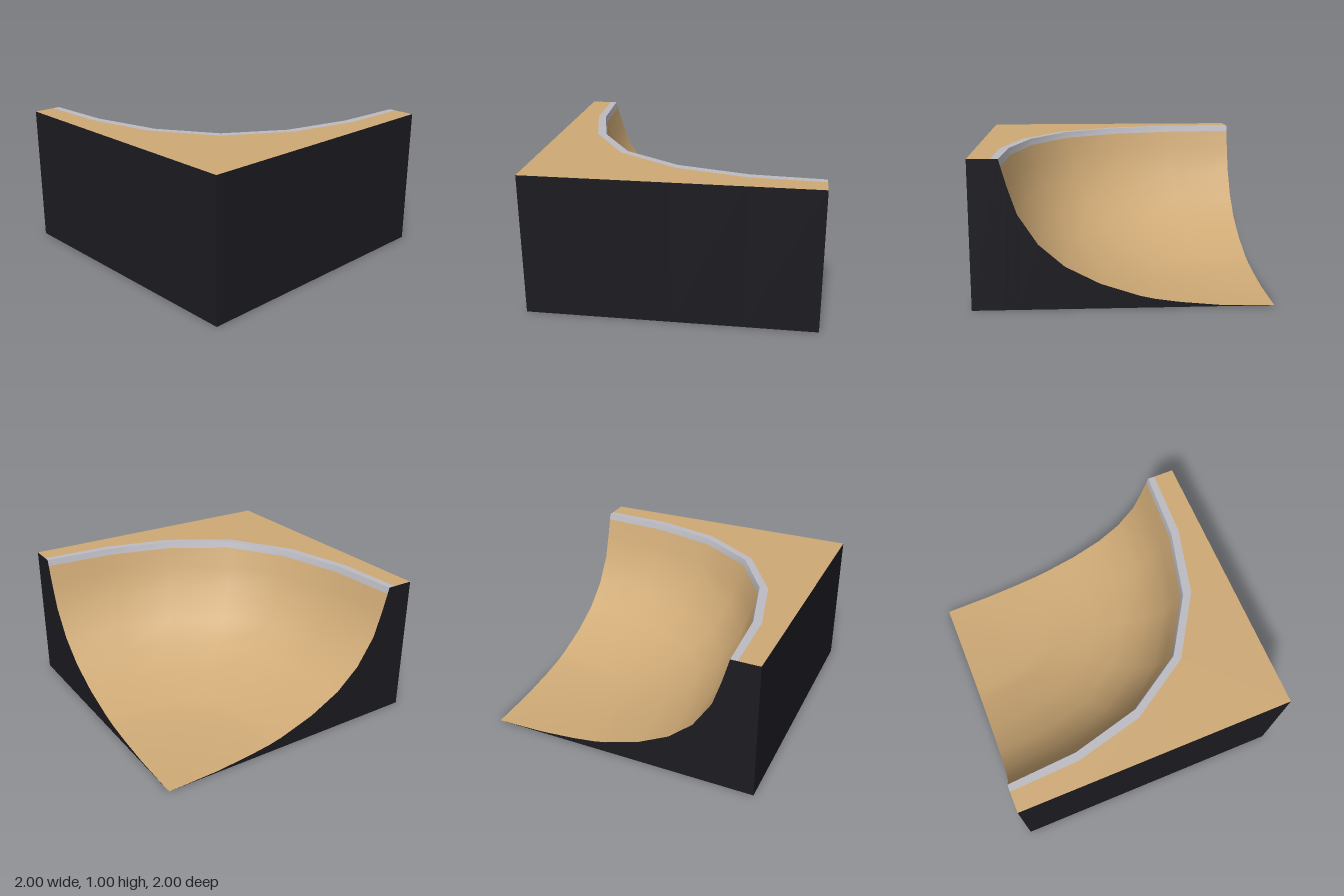
import * as THREE from 'three';

const WOOD = 0xcfaa76, METAL = 0xbdbcc3, DARK = 0x1c1b21;

// Joins rows of points into a thin surface; sharp facets unless smooth.
function loft(name, rows, color, smooth = false) {
  const n = rows[0].length, index = [];
  for (let r = 0; r < rows.length - 1; r++) {
    for (let k = 0; k < n - 1; k++) {
      const a = r * n + k, b = a + n;
      index.push(a, b, a + 1, a + 1, b, b + 1);
    }
  }
  let geometry = new THREE.BufferGeometry();
  geometry.setAttribute('position', new THREE.Float32BufferAttribute(rows.flat(2), 3));
  geometry.setIndex(index);
  if (!smooth) geometry = geometry.toNonIndexed();
  geometry.computeVertexNormals();
  const mesh = new THREE.Mesh(geometry, new THREE.MeshStandardMaterial({ color, side: THREE.DoubleSide }));
  mesh.name = name;
  return mesh;
}

// Plan curves are offsets from the bowl's centre at the corner x = 1, z = -1,
// mirrored about the diagonal.
const mirrored = (half) => [...half, ...half.slice(0, -1).reverse().map(([u, v]) => [v, u])];
const rim = mirrored([[1.8, 0], [1.77, 0.5], [1.645, 0.99], [1.39, 1.39]]);
const copingEdge = mirrored([[1.85, 0], [1.83, 0.5], [1.71, 0.99], [1.43, 1.43]]);
const border = mirrored([[2, 0], [2, 0.5], [2, 0.99], [2, 2]]);

const ring = (curve, y, s = 1) => curve.map(([u, v]) => [1 - u * s, y, v * s - 1]);

// Transition profile: distance from the centre, height
const profile = [
  [0, 0], [0.12, 0.002], [0.37, 0.01], [0.63, 0.035], [0.8, 0.06], [0.9, 0.083],
  [1.16, 0.17], [1.39, 0.29], [1.56, 0.44], [1.69, 0.64], [1.75, 0.82], [1.788, 0.955],
];
const lip = profile[profile.length - 1];

// The ramp is a hollow shell, open underneath.
export function createModel() {
  const group = new THREE.Group();

  // Riding surface
  group.add(loft('bowl', profile.map(([r, y]) => ring(rim, y, r / 1.8)), WOOD, true));

  // Coping: a band down the inside and over the top
  group.add(loft('copingFace', [ring(rim, lip[1], lip[0] / 1.8), ring(rim, 1)], METAL, true));
  group.add(loft('copingTop', [ring(rim, 1), ring(copingEdge, 1)], METAL));

  // Platform
  group.add(loft('deck', [ring(copingEdge, 1), ring(border, 1)], WOOD));

  // Full-height front and right-hand panels
  group.add(loft('outerWalls', [ring(border, 1), ring(border, 0)], DARK));

  // Panels cut to the transition
  const cut = [...profile, [1.8, 1], [2, 1]];
  const sideTop = cut.map(([r, y]) => [1, y, r - 1]);
  const sideBase = cut.map(([r]) => [1, 0, r - 1]);
  const backTop = cut.map(([r, y]) => [1 - r, y, -1]);
  const backBase = cut.map(([r]) => [1 - r, 0, -1]);
  group.add(loft('sideCutWall', [sideBase, sideTop], DARK));
  group.add(loft('backCutWall', [backTop, backBase], DARK));

  return group;
}
